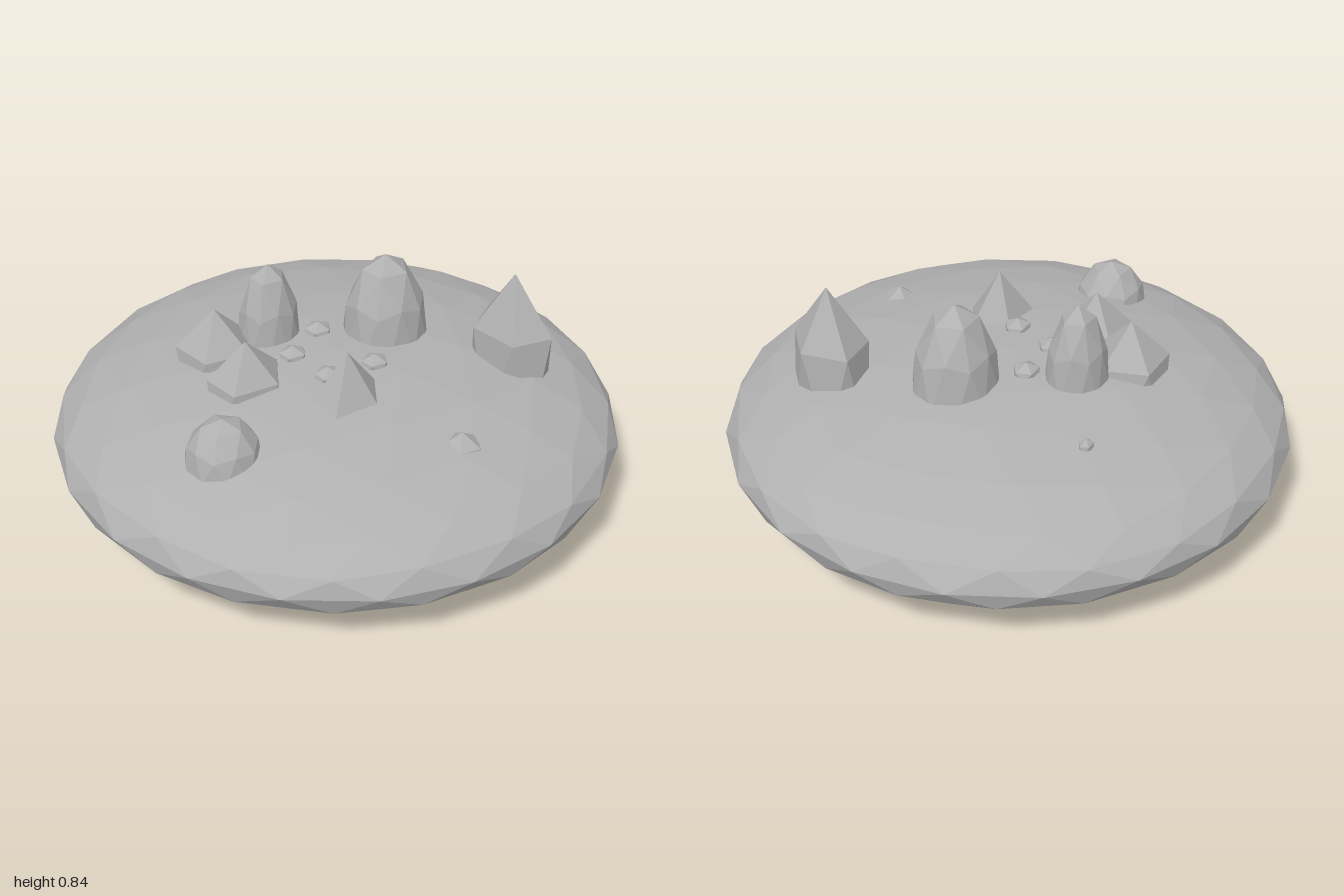
import * as THREE from 'three';

// Faceted unit sphere with its poles on the y axis, split `levels` times from an icosahedron
function icosphere(levels) {
  const ring = (y, offset) => Array.from({ length: 5 }, (_, k) => {
    const a = (k + offset) * Math.PI * 0.4;
    return new THREE.Vector3(2 * Math.cos(a), y, -2 * Math.sin(a)).normalize();
  });
  const top = new THREE.Vector3(0, 1, 0), bottom = new THREE.Vector3(0, -1, 0);
  const upper = ring(1, 0), lower = ring(-1, 0.5);
  let faces = [];
  for (let k = 0; k < 5; k++) {
    const n = (k + 1) % 5;
    faces.push([top, upper[k], upper[n]], [upper[k], lower[k], upper[n]],
      [lower[k], lower[n], upper[n]], [bottom, lower[n], lower[k]]);
  }
  const mid = (p, q) => p.clone().add(q).normalize();
  for (let i = 0; i < levels; i++) {
    faces = faces.flatMap(([a, b, c]) => {
      const ab = mid(a, b), bc = mid(b, c), ca = mid(c, a);
      return [[a, ab, ca], [ab, b, bc], [ca, bc, c], [ab, bc, ca]];
    });
  }
  return new THREE.BufferGeometry().setFromPoints(faces.flat());
}

export function createModel() {
  const model = new THREE.Group();
  model.name = 'rockyIsland';
  const stone = new THREE.MeshStandardMaterial({ color: 0xb0b0b0 });
  stone.name = 'greyStone';

  // Stretched icosphere: centre (x, y, z) and radii (rx, ry, rz)
  const addRock = (name, levels, x, y, z, rx, ry, rz) => {
    const geometry = icosphere(levels);
    geometry.scale(rx, ry, rz).translate(x, y, z);
    geometry.computeVertexNormals();
    const mesh = new THREE.Mesh(geometry, stone);
    mesh.name = name;
    model.add(mesh);
  };

  // Flattened ground body
  addRock('island', 2, 0, 0.282, 0, 1, 0.282, 1);

  // Rounded boulders
  addRock('tallBoulder', 1, 0.248, 0.495, -0.007, 0.163, 0.35, 0.15);
  addRock('backBoulder', 1, -0.075, 0.493, -0.265, 0.123, 0.335, 0.107);
  addRock('lowBoulder', 1, -0.612, 0.447, 0.105, 0.137, 0.18, 0.132);

  // Sharp crystals
  addRock('tallCrystal', 0, 0.485, 0.447, 0.382, 0.138, 0.388, 0.174);
  addRock('backCrystal', 0, -0.277, 0.45, -0.322, 0.155, 0.255, 0.153);
  addRock('middleCrystal', 0, -0.33, 0.45, -0.1, 0.159, 0.25, 0.135);
  addRock('frontCrystal', 0, -0.15, 0.385, 0.21, 0.159, 0.338, 0.123);

  // Pebbles
  addRock('frontPebble', 0, -0.013, 0.457, 0.612, 0.076, 0.08, 0.075);
  addRock('backPebble', 0, 0.155, 0.505, -0.547, 0.033, 0.036, 0.026);
  for (let k = 0; k < 5; k++) {
    const a = k * Math.PI * 0.4;
    addRock('ringPebble', 0, 0.153 * Math.cos(a), 0.552, -0.15 * Math.sin(a), 0.055, 0.042, 0.051);
  }
  return model;
}
